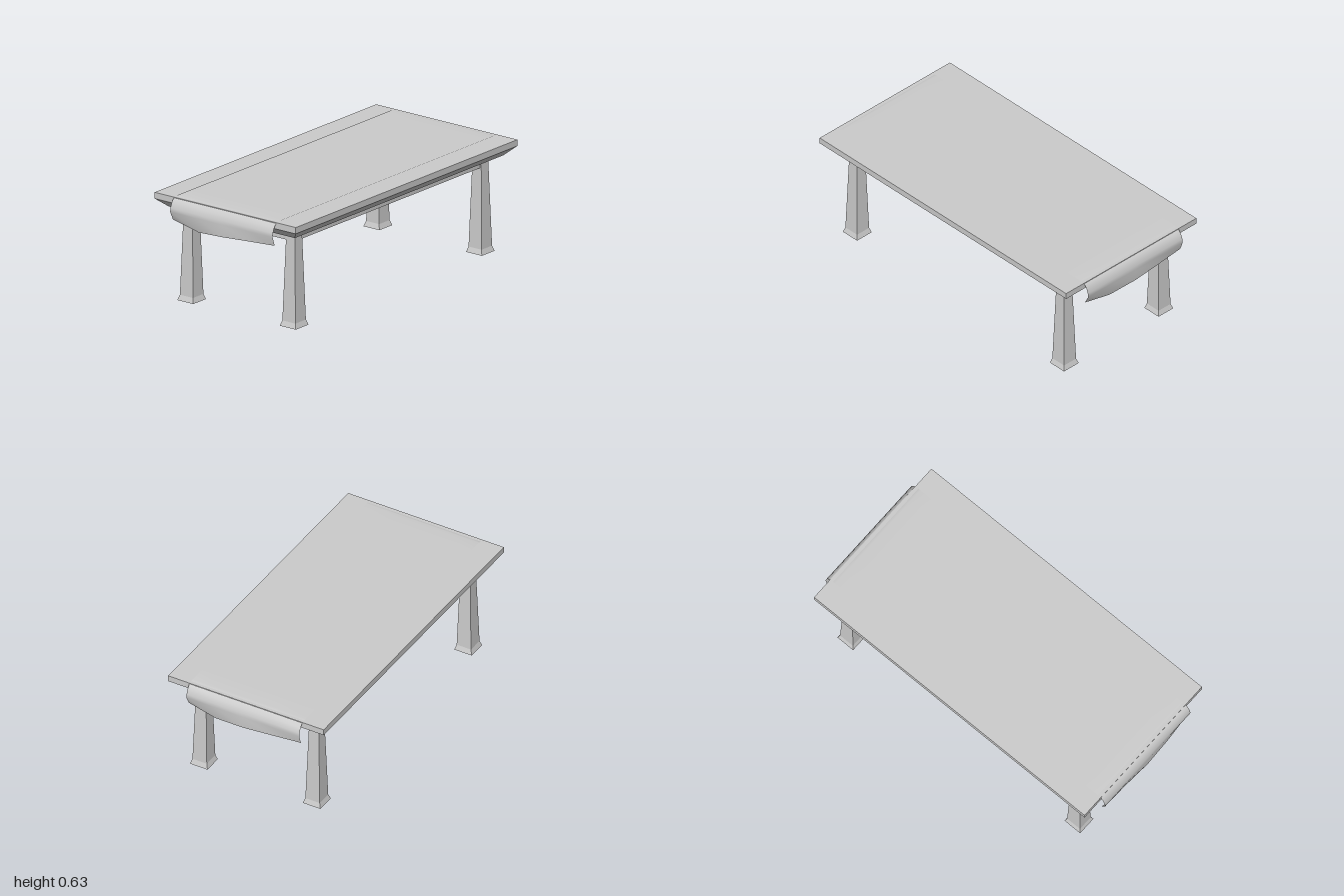
import * as THREE from 'three';

const material = new THREE.MeshStandardMaterial({ color: 0xcccccc, flatShading: true });
const clothMaterial = new THREE.MeshStandardMaterial({ color: 0xcccccc, side: THREE.DoubleSide });

// Stack of rectangles [y, halfX, halfZ], listed bottom to top, with closed ends
function stackGeometry(sections) {
  const pos = [], index = [];
  for (const [y, hx, hz] of sections) {
    pos.push(-hx, y, hz, hx, y, hz, hx, y, -hz, -hx, y, -hz);
  }
  const last = (sections.length - 1) * 4;
  for (let s = 0; s < last; s += 4) {
    for (let i = 0; i < 4; i++) {
      const a = s + i, b = s + (i + 1) % 4;
      index.push(a, b, b + 4, a, b + 4, a + 4);
    }
  }
  index.push(0, 2, 1, 0, 3, 2, last, last + 1, last + 2, last, last + 2, last + 3);
  const g = new THREE.BufferGeometry();
  g.setAttribute('position', new THREE.Float32BufferAttribute(pos, 3));
  g.setIndex(index);
  const flat = g.toNonIndexed();
  flat.computeVertexNormals();
  return flat;
}

// Hanging end of the cloth on the +x side: [z, hem x, hem y]
const hem = [
  [0.355, 0.975, 0.5],
  [0.18, 0.985, 0.467],
  [0, 0.999, 0.479],
  [-0.17, 0.995, 0.491],
  [-0.355, 0.982, 0.498],
];
const drop = [[0.83, 0.629], [0.93, 0.629], [0.968, 0.622], [0.987, 0.6], [0.997, 0.572], [1, 0.55]];

// Runner cloth: rows across z, each going from one hem over the top to the other
function clothGeometry() {
  const pos = [], index = [];
  const n = hem.length, cols = (drop.length + 1) * 2;
  for (let r = 0; r < n; r++) {
    const z = hem[r][0];
    const right = [...drop, hem[r].slice(1)];
    // the opposite end is the same shape turned half way round
    const left = [...drop, hem[n - 1 - r].slice(1)].reverse();
    for (const [x, y] of left) pos.push(-x, y, z);
    for (const [x, y] of right) pos.push(x, y, z);
  }
  for (let r = 0; r < n - 1; r++) {
    for (let c = 0; c < cols - 1; c++) {
      const a = r * cols + c, b = a + cols;
      index.push(a, a + 1, b + 1, a, b + 1, b);
    }
  }
  const g = new THREE.BufferGeometry();
  g.setAttribute('position', new THREE.Float32BufferAttribute(pos, 3));
  g.setIndex(index);
  g.computeVertexNormals();
  return g;
}

export function createModel() {
  const model = new THREE.Group();
  model.name = 'table';
  const add = (name, geometry, mat = material) => {
    const mesh = new THREE.Mesh(geometry, mat);
    mesh.name = name;
    model.add(mesh);
    return mesh;
  };

  // Top with bevelled underside
  add('tableTop', stackGeometry([[0.54, 0.908, 0.436], [0.59, 0.967, 0.489], [0.626, 0.967, 0.489]]));

  // Frame under the top
  add('apron', stackGeometry([[0.49, 0.839, 0.379], [0.541, 0.839, 0.379]]));

  // Tapered legs with flared feet
  const legGeometry = stackGeometry([[0, 0.056, 0.055], [0.03, 0.046, 0.045], [0.541, 0.03, 0.03]]);
  for (const x of [-1, 1]) {
    for (const z of [-1, 1]) {
      const name = (z > 0 ? 'front' : 'back') + (x > 0 ? 'Left' : 'Right') + 'Leg';
      add(name, legGeometry).position.set(x * 0.812, 0, z * 0.355);
    }
  }

  // Cloth draped over both ends
  add('runnerCloth', clothGeometry(), clothMaterial);
  return model;
}
